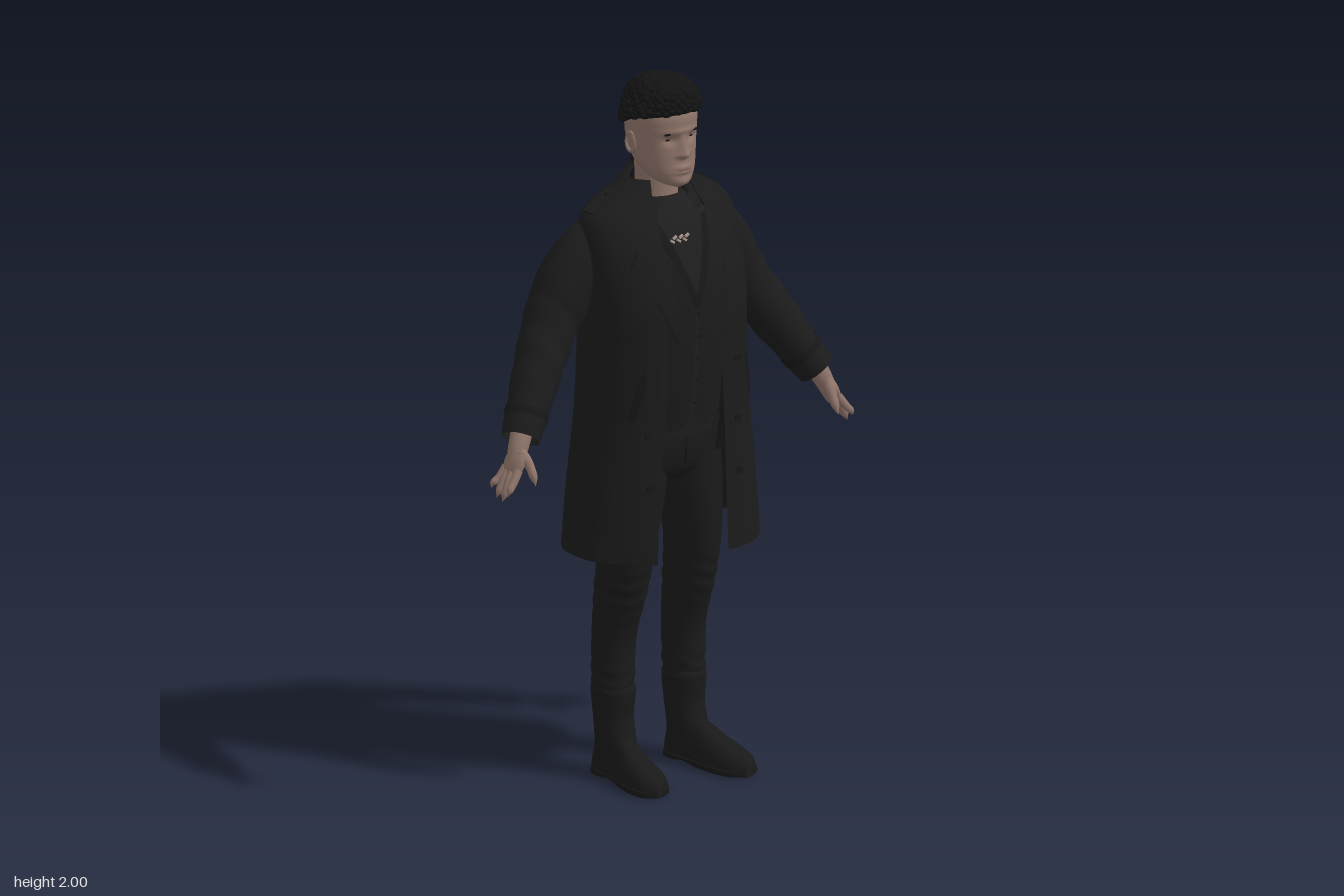
import * as THREE from 'three';
import { mergeVertices, mergeGeometries } from 'three/addons/utils/BufferGeometryUtils.js';

const { sin, cos, asin, abs, sign, pow, exp, PI, min, max } = Math;
const V = (p) => new THREE.Vector3(...p);
const spow = (v, p) => sign(v) * pow(abs(v), p);
const bump = (d, w) => exp(-(d / w) * (d / w));

// Surface over a grid, u and v in 0..1
function grid(nu, nv, fn) {
  const pos = [], idx = [];
  for (let j = 0; j <= nv; j++) for (let i = 0; i <= nu; i++) pos.push(...fn(i / nu, j / nv));
  for (let j = 0; j < nv; j++) for (let i = 0; i < nu; i++) {
    const a = j * (nu + 1) + i, c = a + nu + 1;
    idx.push(a, a + 1, c + 1, a, c + 1, c);
  }
  let g = new THREE.BufferGeometry();
  g.setAttribute('position', new THREE.Float32BufferAttribute(pos, 3));
  g.setIndex(idx);
  g = mergeVertices(g, 1e-5);
  g.computeVertexNormals();
  return g;
}

// Smooth interpolation of rows keyed by their first number
function at(rows, y) {
  const n = rows.length - 1;
  let k = 0;
  while (k < n - 1 && y > rows[k + 1][0]) k++;
  const a = rows[k], b = rows[k + 1], h = b[0] - a[0];
  const t = min(1, max(0, (y - a[0]) / h)), t2 = t * t, t3 = t2 * t;
  const slope = (i, c) => {
    const p = rows[max(0, i - 1)], q = rows[min(n, i + 1)];
    return (q[c] - p[c]) / (q[0] - p[0]);
  };
  return a.map((_, c) => c === 0 ? y : (2 * t3 - 3 * t2 + 1) * a[c] + (t3 - 2 * t2 + t) * h * slope(k, c)
    + (3 * t2 - 2 * t3) * b[c] + (t3 - t2) * h * slope(k + 1, c));
}
const span = (rows, v) => rows[0][0] + v * (rows[rows.length - 1][0] - rows[0][0]);

// Closed loft; rows are [y, half width, back z, front z, centre x]
function loft(rows, nu, nv, p = 1, shape = (q) => q) {
  return grid(nu, nv, (u, v) => {
    const [y, hx, zb, zf, cx = 0] = at(rows, span(rows, v)), a = u * 2 * PI;
    return shape([cx + hx * spow(sin(a), p), y, (zf + zb) / 2 + (zf - zb) / 2 * spow(cos(a), p)], a);
  });
}

// Round limb along a curve with radii that change on the way
function limb(points, radii, nu = 16, nv = 24, fold = 0) {
  const curve = new THREE.CatmullRomCurve3(points.map(V));
  const fr = curve.computeFrenetFrames(nv);
  const rr = radii.map((r, i) => [i / (radii.length - 1), r]);
  return grid(nu, nv, (u, v) => {
    const k = Math.round(v * nv), a = u * 2 * PI;
    const r = max(0.0005, at(rr, v)[1]) * (1 + fold * sin(v * 40 + 3 * sin(a)) * bump(v - 0.6, 0.3));
    return curve.getPointAt(v).addScaledVector(fr.normals[k], r * cos(a))
      .addScaledVector(fr.binormals[k], r * sin(a)).toArray();
  });
}

// Front z of a lofted garment
function frontZ(rows, p, x, y) {
  const [, hx, zb, zf] = at(rows, y);
  const a = asin(min(1, pow(abs(x) / hx, 1 / p)));
  return (zf + zb) / 2 + (zf - zb) / 2 * pow(cos(a), p);
}
// Cloth panel lying on a garment; edge rows are [y, inner x, outer x], joined by straight lines
function panel(rows, p, edge, off) {
  const per = 6, n = (edge.length - 1) * per;
  return grid(8, n, (u, v) => {
    const k = min(edge.length - 2, Math.floor(v * n / per + 1e-6)), t = v * n / per - k;
    const e = edge[k].map((c, i) => c + (edge[k + 1][i] - c) * t);
    const x = e[1] + (e[2] - e[1]) * u;
    return [x, e[0], frontZ(rows, p, x, e[0]) + off];
  });
}

// [y, half width, back z, front z, left edge x, right edge x]
const COAT = [[0.675, 0.3, -0.205, 0.202, 0.085, 0.15], [0.85, 0.282, -0.197, 0.197, 0.08, 0.14],
  [1.05, 0.256, -0.187, 0.192, 0.075, 0.12], [1.25, 0.247, -0.181, 0.19, 0.068, 0.11],
  [1.38, 0.248, -0.177, 0.184, 0.085, 0.11], [1.5, 0.25, -0.171, 0.152, 0.105, 0.11],
  [1.58, 0.242, -0.162, 0.116, 0.1, 0.1], [1.63, 0.215, -0.15, 0.086, 0.085, 0.085],
  [1.67, 0.148, -0.127, 0.063, 0.072, 0.072], [1.71, 0.09, -0.1, 0.045, 0.06, 0.06]];
const TORSO = [[0.99, 0.16, -0.12, 0.125], [1.2, 0.165, -0.13, 0.152], [1.4, 0.185, -0.14, 0.154],
  [1.5, 0.185, -0.14, 0.13], [1.58, 0.155, -0.13, 0.098], [1.63, 0.1, -0.1, 0.067], [1.66, 0.064, -0.08, 0.046]];
const HEAD = [[1.693, 0.012, 0.055, 0.085], [1.705, 0.042, 0.01, 0.1], [1.735, 0.069, -0.045, 0.104],
  [1.77, 0.082, -0.08, 0.102], [1.81, 0.089, -0.097, 0.1], [1.85, 0.092, -0.104, 0.102],
  [1.9, 0.09, -0.1, 0.102], [1.945, 0.07, -0.08, 0.075], [1.97, 0.012, -0.02, 0.012]];

// Nose, eye sockets, brow and lips pressed into the head
function face([x, y, z], a) {
  if (cos(a) > 0) {
    const nose = y > 1.79 ? 0.026 * max(0, 1 - (y - 1.79) / 0.06) : 0.026 * bump(y - 1.79, 0.009);
    z += nose * bump(x, 0.011 + 0.006 * bump(y - 1.787, 0.015));
    z -= 0.012 * bump(abs(x) - 0.036, 0.018) * bump(y - 1.832, 0.013);
    z += 0.005 * bump(y - 1.856, 0.009) * bump(x, 0.06);
    z += 0.006 * bump(x, 0.024) * (bump(y - 1.753, 0.006) + bump(y - 1.74, 0.006));
    z += 0.006 * bump(x, 0.025) * bump(y - 1.71, 0.013);
  }
  return [x, y, z];
}

export function createModel() {
  const root = new THREE.Group();
  root.name = 'standingFigure';
  const mat = (name, color) => new THREE.MeshStandardMaterial({ name, color, side: THREE.DoubleSide });
  const skin = mat('skin', 0x8f756a), lip = mat('lips', 0x7b5b50), hair = mat('hair', 0x131313);
  const coat = mat('coatCloth', 0x1b1b1c), trim = mat('coatTrim', 0x171718), shirt = mat('shirtCloth', 0x1e1e1f);
  const vest = mat('vestCloth', 0x1b1b1c), denim = mat('trouserCloth', 0x1a1a1b);
  const leather = mat('bootLeather', 0x191919), metal = mat('pendantMetal', 0xb09a90);
  const add = (name, geo, m) => {
    const mesh = new THREE.Mesh(geo, m);
    mesh.name = name;
    root.add(mesh);
    return mesh;
  };
  const pair = (name, geo, m) => {
    add(name + 'Left', geo, m);
    add(name + 'Right', geo, m).scale.x = -1;
  };
  const ball = (r, s, p, rz = 0) => new THREE.SphereGeometry(r, 16, 12).scale(...s).rotateZ(rz).translate(...p);

  // Head
  add('head', loft(HEAD, 72, 80, 0.92, face), skin);
  add('neck', loft([[1.6, 0.066, -0.085, 0.045], [1.67, 0.058, -0.08, 0.04], [1.76, 0.06, -0.083, 0.04]], 28, 8), skin);
  pair('ear', mergeGeometries([ball(1, [0.009, 0.032, 0.018], [0.089, 1.812, -0.012], -0.12),
    new THREE.TorusGeometry(0.018, 0.005, 8, 18).scale(0.8, 1.4, 1).rotateY(1.25).translate(0.094, 1.815, -0.013)]), skin);
  pair('eye', ball(1, [0.013, 0.005, 0.006], [0.036, 1.832, 0.078]), hair);
  pair('eyebrow', ball(1, [0.021, 0.004, 0.005], [0.038, 1.852, 0.091], -0.06), hair);
  add('mouth', ball(1, [0.024, 0.0035, 0.005], [0, 1.7465, 0.104]), lip);

  // Curly hair: a cap covered in small curls, lower at the back
  const crown = (a, v) => {
    const c = cos(a), low = 1.888 + (c > 0 ? 0.022 : 0.055) * c, r = pow(cos(v * PI / 2), 0.55);
    return [-0.006 + 0.097 * sin(a) * r, low + (1.982 - low) * sin(v * PI / 2), 0.005 + 0.11 * c * r];
  };
  add('hairCap', grid(48, 20, (u, v) => crown(u * 2 * PI, v)), hair);
  let seed = 7;
  const rnd = () => (seed = (seed * 16807) % 2147483647) / 2147483647;
  const curls = [];
  for (let i = 0; i < 380; i++) {
    const [x, y, z] = crown(i * 2.39996, 0.02 + 0.98 * (i + 0.5) / 380);
    curls.push(new THREE.IcosahedronGeometry(0.009 + rnd() * 0.006, 1).scale(1, 0.8, 1.2)
      .rotateY(rnd() * 6).translate(x, y + 0.004, z));
  }
  add('hairCurls', mergeGeometries(curls), hair);

  // Shirt, vest and pendant
  add('shirt', loft(TORSO, 48, 30, 0.9), shirt);
  pair('vestFront', panel(TORSO, 0.9, [[1.01, 0.045, 0.055], [1.04, 0.01, 0.13], [1.4, 0, 0.13], [1.6, 0.072, 0.12]], 0.005), vest);
  pair('vestEdge', panel(TORSO, 0.9, [[1.36, 0, 0.004], [1.4, 0, 0.025], [1.6, 0.072, 0.1]], 0.008), trim);
  for (let i = 0; i < 5; i++) add('vestButton', ball(0.006, [1, 1, 0.5], [0.006, 1.09 + i * 0.065, frontZ(TORSO, 0.9, 0, 1.09 + i * 0.065) + 0.006]), trim);
  add('shirtNeckband', new THREE.TorusGeometry(0.066, 0.008, 8, 32).rotateX(PI / 2 + 0.25).translate(0, 1.652, -0.015), shirt);
  for (let i = 0; i < 6; i++) {
    const x = -0.048 + i * 0.01, y = 1.552 + (i % 2) * 0.009;
    add('pendant', new THREE.BoxGeometry(0.013, 0.006, 0.006).rotateZ(i % 2 ? 0.6 : -0.6).translate(x, y, frontZ(TORSO, 0.9, x, y) + 0.007), metal);
  }

  // Trousers
  add('trouserSeat', loft([[0.85, 0.08, -0.07, 0.06], [0.88, 0.15, -0.11, 0.092], [0.95, 0.168, -0.125, 0.112], [1.05, 0.165, -0.12, 0.118]], 40, 14, 0.85), denim);
  add('trouserFly', new THREE.BoxGeometry(0.012, 0.09, 0.008).translate(0.004, 0.955, 0.113), trim);
  add('belt', loft([[0.995, 0.171, -0.126, 0.122], [1.025, 0.17, -0.126, 0.124]], 40, 2, 0.85), leather);
  pair('trouserLeg', loft([[0.2, 0.054, -0.112, 0.0, 0.122], [0.27, 0.056, -0.116, 0.005, 0.122], [0.4, 0.059, -0.117, 0.012, 0.12],
    [0.53, 0.065, -0.108, 0.053, 0.118], [0.65, 0.072, -0.095, 0.08, 0.114], [0.8, 0.085, -0.1, 0.095, 0.1], [0.92, 0.088, -0.11, 0.1, 0.09]],
  28, 80, 0.95, ([x, y, z], a) => {
    const f = 0.0025 * sin(y * 130 + 5 * sin(a + 1)) * (bump(y - 0.54, 0.07) + bump(y - 0.28, 0.04));
    return [x + f * sin(a), y, z + f * cos(a)];
  }), denim);

  // Hip chain
  for (let i = 0; i < 12; i++) add('hipChainLink', new THREE.TorusGeometry(0.008, 0.0025, 6, 10).scale(0.7, 1.2, 1)
    .rotateY(i % 2 ? 1.4 : 0).translate(-0.105 - 0.012 * sin(i * 0.3), 0.99 - i * 0.015, 0.118), trim);

  // Boots
  pair('bootShaft', loft([[0.03, 0.05, -0.108, 0.02, 0.125], [0.1, 0.05, -0.108, 0.025, 0.124], [0.17, 0.053, -0.112, 0.006, 0.122],
    [0.25, 0.059, -0.118, 0.01, 0.122], [0.262, 0.054, -0.112, 0.002, 0.122]], 28, 24, 0.95), leather);
  // Foot rows: [z, half width, height, centre x]
  const FOOT = [[-0.112, 0.012, 0.06, 0.124], [-0.1, 0.038, 0.095, 0.125], [-0.05, 0.047, 0.12, 0.127], [0.02, 0.047, 0.122, 0.132],
    [0.08, 0.054, 0.092, 0.141], [0.14, 0.054, 0.072, 0.148], [0.178, 0.039, 0.056, 0.152], [0.196, 0.006, 0.03, 0.154]];
  pair('bootFoot', grid(24, 36, (u, v) => {
    const [z, w, h, cx] = at(FOOT, span(FOOT, v)), a = -u * 2 * PI;
    return [cx + w * spow(cos(a), 0.8), 0.016 + (h - 0.016) * max(0, sin(a)), z];
  }), leather);
  pair('bootSole', grid(24, 36, (u, v) => {
    const [z, w, , cx] = at(FOOT, span(FOOT, v)), a = -u * 2 * PI;
    const arch = 0.007 * bump(z + 0.01, 0.03);
    return [cx + (w + 0.004) * spow(cos(a), 0.4), 0.011 + 0.011 * spow(sin(a), 0.4) + (sin(a) < 0 ? arch : 0), z];
  }), trim);

  // Open coat body with soft folds towards the hem
  const P = 0.9;
  add('coatBody', grid(96, 60, (u, v) => {
    const [y, hx, zb, zf, xl, xr] = at(COAT, span(COAT, v));
    const edge = (x) => asin(pow(x / hx, 1 / P));
    const a0 = edge(xl), a = a0 + u * (2 * PI - edge(xr) - a0);
    const f = 1 + 0.035 * cos(6 * (a - 0.6)) * max(0, (1.0 - y) / 0.33) * abs(cos(a));
    const drop = v === 0 ? -0.012 * max(0, cos(a)) : 0;
    return [hx * f * spow(sin(a), P), y + drop, (zf + zb) / 2 + (zf - zb) / 2 * spow(cos(a), P) * f];
  }), coat);
  pair('lapel', panel(COAT, P, [[1.28, 0.072, 0.08], [1.38, 0.085, 0.125], [1.5, 0.1, 0.185], [1.53, 0.1, 0.17], [1.6, 0.09, 0.14], [1.66, 0.07, 0.1]], 0.009), coat);
  pair('lapelEdge', panel(COAT, P, [[1.275, 0.072, 0.084], [1.38, 0.085, 0.131], [1.5, 0.1, 0.192], [1.54, 0.1, 0.172]], 0.005), trim);
  pair('pocketWelt', panel(COAT, P, [[1.07, 0.195, 0.215], [1.2, 0.165, 0.185]], 0.007), trim);
  add('stormFlap', panel(COAT, P, [[1.4, -0.2, -0.12], [1.415, -0.215, -0.115], [1.5, -0.225, -0.115]], 0.006), coat);
  for (const y of [0.88, 1.03, 1.2]) for (const x of [0.13, -0.165])
    add('coatButton', new THREE.CylinderGeometry(0.011, 0.011, 0.008, 16).rotateX(PI / 2).translate(x, y, frontZ(COAT, P, x, y) + 0.003), trim);

  // Turned-down collar, high at the back
  const collarPoint = (a, t) => {
    const c = cos(a), k = [0, 0.25, 1][t];
    return [sin(a) * (0.076 + 0.05 * k), 1.694 - 0.048 * c - [0.03, 0, 0.06][t], -0.014 + c * (0.078 + 0.028 * k)];
  };
  add('collar', grid(48, 2, (u, v) => collarPoint(0.6 + u * (2 * PI - 1.2), Math.round(v * 2))), coat);

  // Sleeves with cuff straps, and shoulder straps
  pair('sleeve', limb([[0.16, 1.565, -0.055], [0.215, 1.51, -0.062], [0.31, 1.362, -0.07], [0.405, 1.22, -0.026], [0.505, 1.065, 0.033]],
    [0.065, 0.087, 0.076, 0.066, 0.052], 28, 48, 0.025), coat);
  pair('cuff', limb([[0.474, 1.113, 0.013], [0.49, 1.089, 0.022], [0.51, 1.058, 0.034]], [0.058, 0.057, 0.053], 28, 6), coat);
  pair('cuffStrap', limb([[0.466, 1.126, 0.009], [0.473, 1.115, 0.012], [0.48, 1.104, 0.016]], [0.061, 0.062, 0.061], 28, 3), trim);
  pair('shoulderStrap', new THREE.BoxGeometry(0.09, 0.008, 0.045).rotateZ(-0.54).translate(0.181, 1.652, -0.04), coat);
  pair('shoulderButton', ball(0.008, [1, 0.6, 1], [0.155, 1.671, -0.04]), trim);

  // Hands
  const hand = [limb([[0.505, 1.07, 0.03], [0.522, 1.04, 0.04], [0.54, 1.0, 0.047]], [0.03, 0.028, 0.023], 14, 8),
    limb([[0.53, 1.03, 0.06], [0.522, 0.995, 0.09], [0.521, 0.962, 0.109], [0.522, 0.945, 0.117]], [0.016, 0.016, 0.0125, 0.011, 0], 12, 18)];
  const tips = [0.922, 0.902, 0.908, 0.93];
  tips.forEach((y, i) => {
    const z = 0.076 - i * 0.018, zt = 0.087 - i * 0.0245;
    hand.push(limb([[0.55, 0.985, z], [0.572, 0.955, (z + zt) / 2], [0.59, y + 0.012, zt], [0.595, y, zt]],
      [0.0125, 0.0125, 0.012, 0.011, 0.0095, 0], 12, 18));
  });
  pair('hand', mergeGeometries(hand), skin);
  pair('palm', ball(1, [0.018, 0.048, 0.039], [0.543, 1.0, 0.05], 0.4), skin);

  return root;
}
